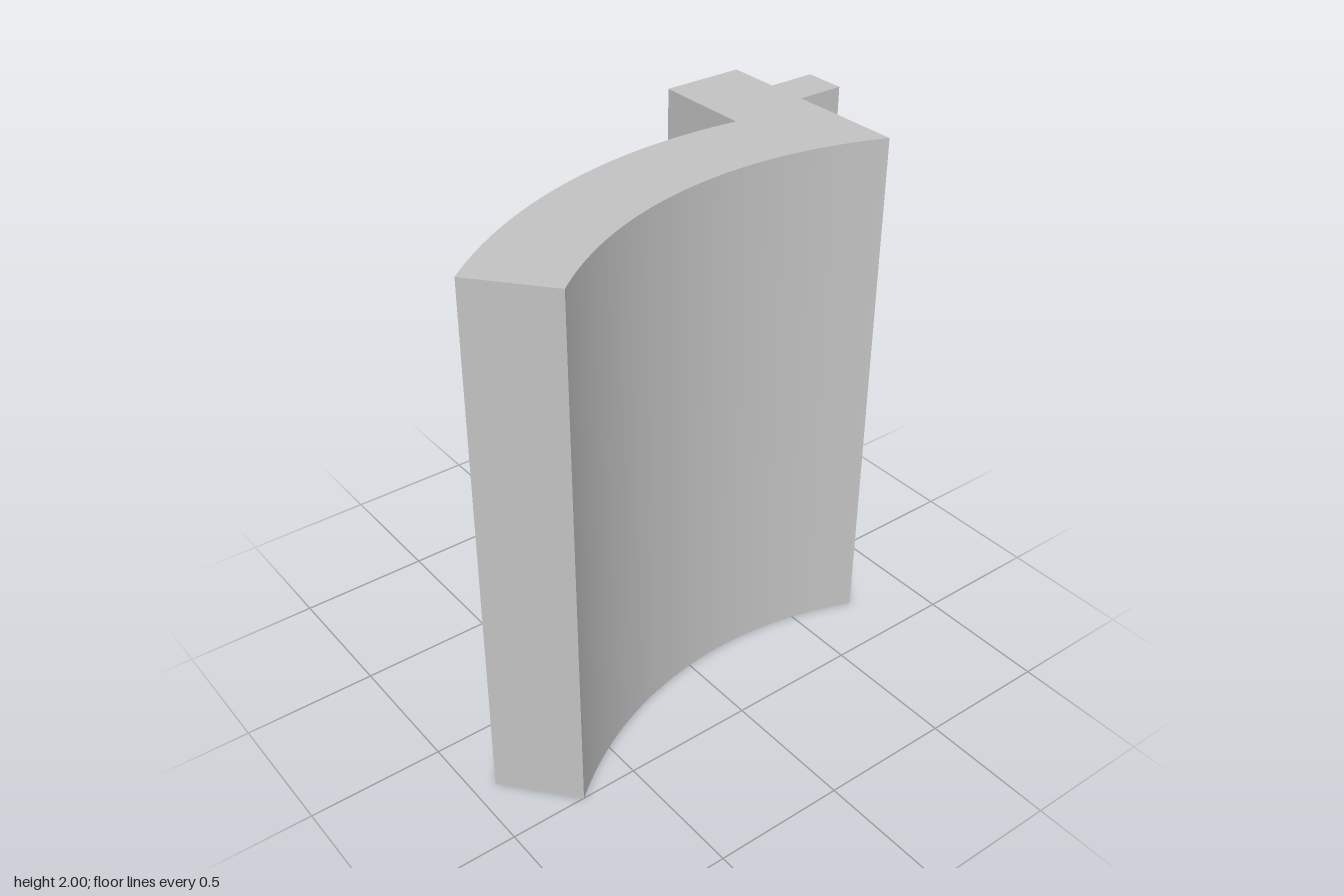
import * as THREE from 'three';
import { toCreasedNormals } from 'three/addons/utils/BufferGeometryUtils.js';

const HEIGHT = 2;
// Both curved faces share one centre; plan coordinates are (x, -z)
const CX = 1.58, CY = 0.185, INNER = 1.404, OUTER = 1.725;

// Angle on a circle round the centre at which the left-hand side has height y
const angleAt = (y, r) => Math.PI - Math.asin((y - CY) / r);

export function createModel() {
  const group = new THREE.Group();
  group.name = 'curvedProfileBlock';
  const grey = new THREE.MeshStandardMaterial({ color: 0xc4c4c4 });
  grey.name = 'light grey';

  const endAngle = Math.PI + Math.atan2(0.9, 1.08);
  const plan = new THREE.Shape();
  // Flange with its locating tongue at the back
  plan.moveTo(-0.505, 0.425);
  plan.lineTo(-0.505, 0.74);
  plan.lineTo(-0.305, 0.74);
  plan.lineTo(-0.305, 0.922);
  plan.lineTo(-0.15, 0.922);
  plan.lineTo(-0.15, 0.74);
  // Concave face down to the tip, then the convex face back to the flange
  plan.absarc(CX, CY, INNER, angleAt(0.74, INNER), endAngle, false);
  plan.absarc(CX, CY, OUTER, endAngle, angleAt(0.425, OUTER), true);
  plan.closePath();

  // Extrude the plan upwards, keeping the arcs smooth and the corners sharp
  const solid = new THREE.ExtrudeGeometry(plan, { depth: HEIGHT, bevelEnabled: false, curveSegments: 32 });
  solid.rotateX(-Math.PI / 2);
  const body = new THREE.Mesh(toCreasedNormals(solid, Math.PI / 9), grey);
  body.name = 'curvedWallWithFlange';
  group.add(body);
  return group;
}
